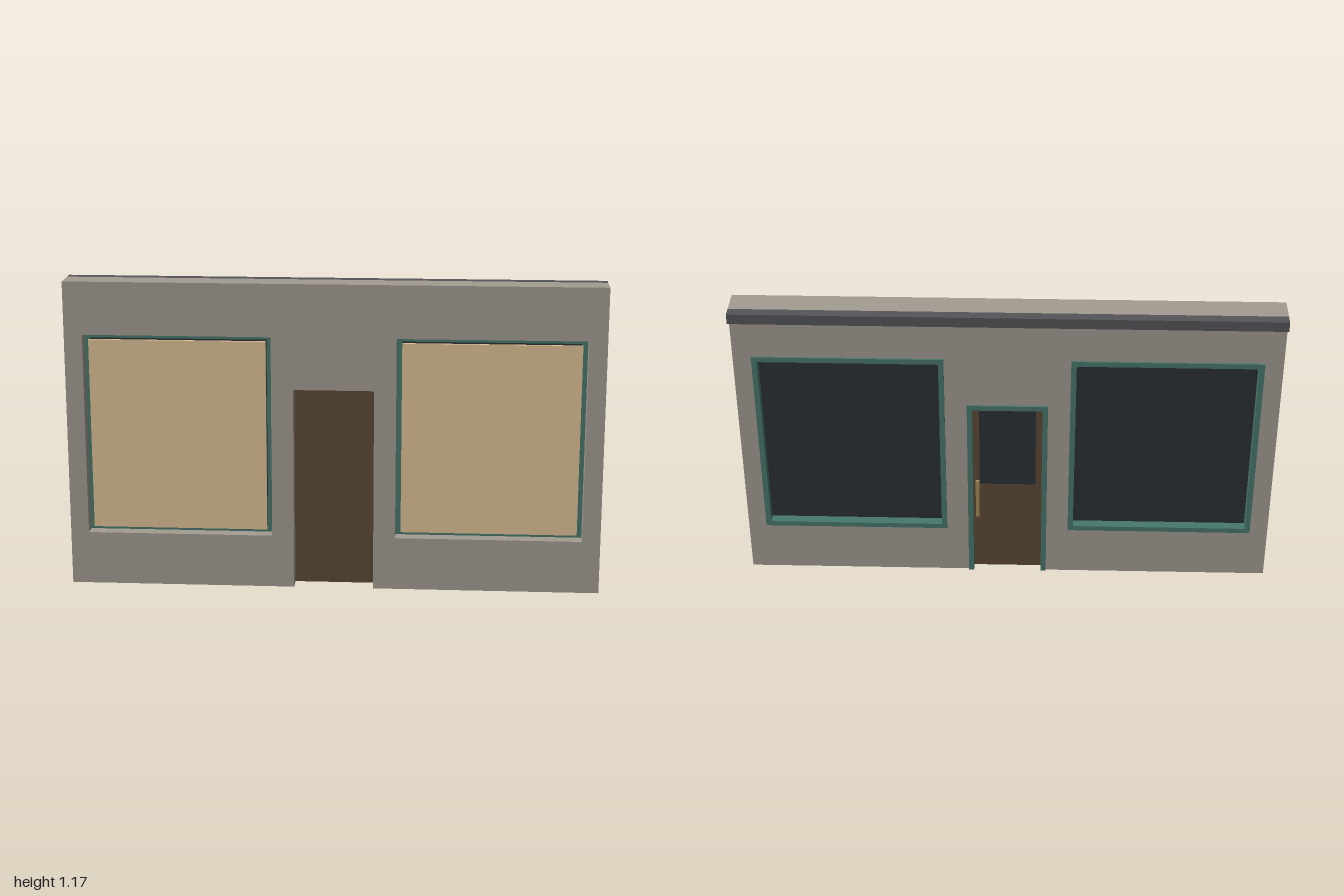
import * as THREE from 'three';

const COLORS = {
  wall: 0xa49c93, trim: 0x55555a, frame: 0x47786c,
  blind: 0xe0c296, wood: 0x5e4938, glass: 0x2b3136, brass: 0xa88c58,
};
const mats = {};
for (const key in COLORS) {
  mats[key] = new THREE.MeshStandardMaterial({ color: COLORS[key], flatShading: true });
}

// Box given by its min and max corners
function box(name, mat, [x0, y0, z0], [x1, y1, z1]) {
  const mesh = new THREE.Mesh(new THREE.BoxGeometry(x1 - x0, y1 - y0, z1 - z0), mats[mat]);
  mesh.position.set((x0 + x1) / 2, (y0 + y1) / 2, (z0 + z1) / 2);
  mesh.name = name;
  return mesh;
}

// Outline extruded from z0 to z1
function slab(name, mat, shape, z0, z1) {
  const geo = new THREE.ExtrudeGeometry(shape, { depth: z1 - z0, bevelEnabled: false });
  geo.translate(0, 0, z0);
  const mesh = new THREE.Mesh(geo, mats[mat]);
  mesh.name = name;
  return mesh;
}

const outline = (pts) => pts.map(([x, y]) => new THREE.Vector2(x, y));
const rect = (x0, y0, x1, y1) => outline([[x0, y0], [x1, y0], [x1, y1], [x0, y1]]);

const H = 1.167;                                      // wall height
const BACK = -0.03, FRONT = 0.07, PROUD = -0.037;     // depth planes
const WIN = { x0: 0.232, x1: 0.932, y0: 0.202, y1: 0.968 };
const DOOR = { w: 0.15, h: 0.77 };
const T = 0.02;                                       // frame thickness

// Inverted U around the door opening, leaving an inner gap of half width w and height h
function arch(w, h, W, top) {
  return new THREE.Shape(outline([
    [-W, 0], [-w, 0], [-w, h], [w, h], [w, 0], [W, 0], [W, top], [-W, top],
  ]));
}

function createWindow(side) {
  const g = new THREE.Group();
  g.name = side > 0 ? 'leftWindow' : 'rightWindow';
  const xa = side > 0 ? WIN.x0 : -WIN.x1;
  const xb = side > 0 ? WIN.x1 : -WIN.x0;
  const { y0, y1 } = WIN;

  const shape = new THREE.Shape(rect(xa, y0, xb, y1));
  shape.holes.push(new THREE.Path(rect(xa + T, y0 + T, xb - T, y1 - T)));
  g.add(slab('windowFrame', 'frame', shape, PROUD, 0.02));

  g.add(box('windowGlass', 'glass', [xa + T, y0 + T, 0], [xb - T, y1 - T, 0.01]));
  g.add(box('windowBlind', 'blind', [xa + T, y0 + T, 0.046], [xb - T, y1 - T, 0.057]));
  return g;
}

function createDoor() {
  const g = new THREE.Group();
  g.name = 'door';
  const w = DOOR.w, h = DOOR.h;
  g.add(slab('doorFrame', 'frame', arch(w - T, h - T, w, h), PROUD, -0.003));
  g.add(box('doorLeaf', 'wood', [-w, 0, -0.003], [w, h, 0.007]));
  g.add(box('doorGlass', 'glass', [-0.106, 0.395, -0.006], [0.106, h - T, -0.003]));
  g.add(box('doorHandle', 'brass', [0.107, 0.25, -0.022], [0.121, 0.415, -0.01]));
  // Short posts tie the handle to the leaf
  for (const y of [0.27, 0.39]) {
    g.add(box('handlePost', 'brass', [0.11, y, -0.011], [0.118, y + 0.01, -0.002]));
  }
  return g;
}

export function createModel() {
  const model = new THREE.Group();
  model.name = 'shopWall';

  // Wall with a door notch and two window openings
  const wall = arch(DOOR.w, DOOR.h, 1, H);
  wall.holes.push(new THREE.Path(rect(WIN.x0, WIN.y0, WIN.x1, WIN.y1)));
  wall.holes.push(new THREE.Path(rect(-WIN.x1, WIN.y0, -WIN.x0, WIN.y1)));
  model.add(slab('wall', 'wall', wall, BACK, FRONT));

  // Cornice strip along the back top edge
  model.add(box('cornice', 'trim', [-1, 1.128, -0.07], [1, H, BACK]));

  for (const side of [1, -1]) model.add(createWindow(side));
  model.add(createDoor());
  return model;
}
